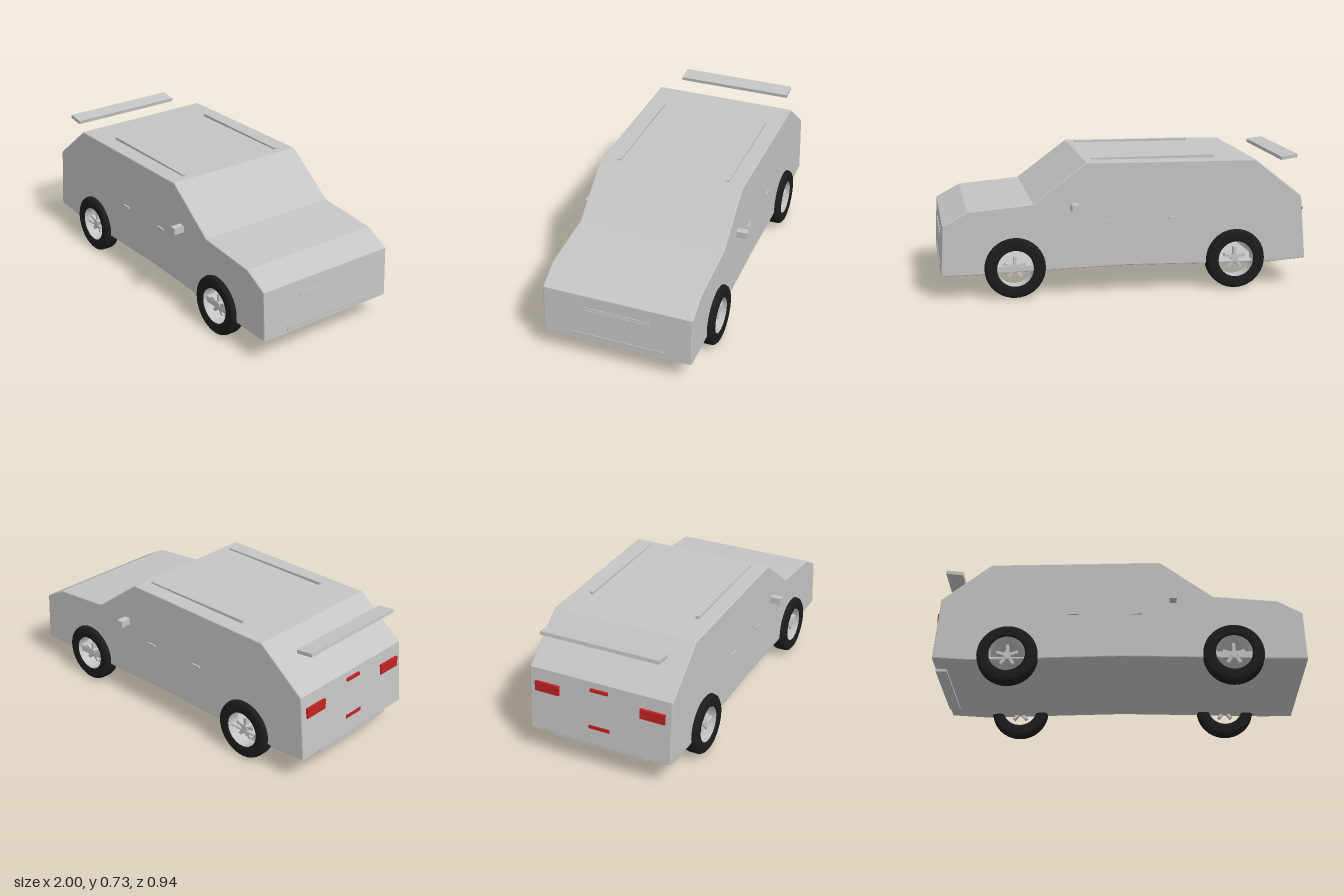
import * as THREE from 'three';

const paint = new THREE.MeshStandardMaterial({ color: 0xc4c4c4 });
paint.name = 'silver grey';
paint.side = THREE.DoubleSide;
const rubber = new THREE.MeshStandardMaterial({ color: 0x1c1c1c });
rubber.name = 'tyre black';
const red = new THREE.MeshStandardMaterial({ color: 0xc42222 });
red.name = 'lamp red';

function add(parent, name, geometry, material, x = 0, y = 0, z = 0) {
  const mesh = new THREE.Mesh(geometry, material);
  mesh.name = name;
  mesh.position.set(x, y, z);
  parent.add(mesh);
  return mesh;
}

function box(parent, name, material, size, pos) {
  return add(parent, name, new THREE.BoxGeometry(...size), material, ...pos);
}

// Side silhouette with half-round openings behind the wheels
function bodyGeometry() {
  const shape = new THREE.Shape([
    [-1, 0.15], [-0.8, 0.135], [-0.4, 0.143], [0, 0.152], [0.4, 0.143], [0.8, 0.133],
    [0.995, 0.132], [0.983, 0.405], [0.85, 0.477], [0.505, 0.507],
    [0.22, 0.72], [-0.705, 0.71], [-0.97, 0.5],
  ].map(([x, y]) => new THREE.Vector2(x, y)));
  for (const [x, y] of [[-0.6, 0.154], [0.605, 0.178]]) {
    const arch = new THREE.Path();
    arch.absarc(x, y, 0.13, 0, Math.PI, false);
    arch.closePath();
    shape.holes.push(arch);
  }
  const bevel = 0.006;
  const geometry = new THREE.ExtrudeGeometry(shape, {
    depth: 0.82 - 2 * bevel, curveSegments: 24,
    bevelEnabled: true, bevelThickness: bevel, bevelSize: bevel, bevelOffset: -bevel, bevelSegments: 2,
  });
  geometry.translate(0, 0, -0.41 + bevel);
  return geometry;
}

// Wheel axis runs along z
function makeWheel(name, x, side) {
  const wheel = new THREE.Group();
  wheel.name = name;
  wheel.position.set(x, 0.165, side * 0.394);
  const profile = [
    [0.098, -0.038], [0.11, -0.044], [0.148, -0.044], [0.159, -0.036], [0.163, -0.022],
    [0.163, 0.022], [0.159, 0.036], [0.148, 0.044], [0.11, 0.044], [0.098, 0.038], [0.098, -0.038],
  ].map(([r, z]) => new THREE.Vector2(r, z));
  add(wheel, 'tyre', new THREE.LatheGeometry(profile, 40).rotateX(Math.PI / 2), rubber);
  add(wheel, 'rimBarrel', new THREE.CylinderGeometry(0.097, 0.097, 0.076, 40, 1, true).rotateX(Math.PI / 2), paint);
  add(wheel, 'hub', new THREE.CylinderGeometry(0.02, 0.02, 0.04, 20).rotateX(Math.PI / 2), paint);
  for (let i = 0; i < 5; i++) {
    const a = Math.PI / 2 + i * Math.PI * 2 / 5;
    const spoke = box(wheel, 'spoke', paint, [0.045, 0.016, 0.03],
      [Math.cos(a) * 0.038, Math.sin(a) * 0.038, 0]);
    spoke.rotation.z = a;
  }
  return wheel;
}

export function createModel() {
  const car = new THREE.Group();
  car.name = 'car';
  add(car, 'body', bodyGeometry(), paint);

  // Mirrored side parts
  for (const side of [1, -1]) {
    car.add(makeWheel('rearWheel', -0.6, side));
    car.add(makeWheel('frontWheel', 0.605, side));
    box(car, 'mirror', paint, [0.038, 0.037, 0.066], [0.287, 0.485, side * 0.437]);
    box(car, 'roofRail', paint, [0.67, 0.016, 0.02], [-0.157, 0.72, side * 0.312]);
    for (const x of [-0.25, 0.09]) {
      box(car, 'doorHandle', paint, [0.055, 0.01, 0.012], [x, 0.405, side * 0.412]);
    }
    box(car, 'tailLight', red, [0.014, 0.055, 0.14], [-0.983, 0.402, side * 0.304]);
  }

  // Raised rear spoiler
  const spoiler = box(car, 'spoiler', paint, [0.094, 0.02, 0.67], [-0.92, 0.704, 0]);
  spoiler.rotation.z = -0.13;

  // Front and rear details
  for (const y of [0.332, 0.317]) {
    box(car, 'grilleSlat', paint, [0.008, 0.007, 0.36], [0.986, y, 0]);
  }
  box(car, 'frontBumper', paint, [0.01, 0.03, 0.52], [0.991, 0.155, 0]);
  box(car, 'rearBumper', paint, [0.06, 0.02, 0.54], [-0.97, 0.143, 0]);
  box(car, 'brakeLight', red, [0.014, 0.016, 0.1], [-0.978, 0.458, 0]);
  box(car, 'lowerLight', red, [0.01, 0.02, 0.12], [-0.99, 0.245, 0]);
  return car;
}
